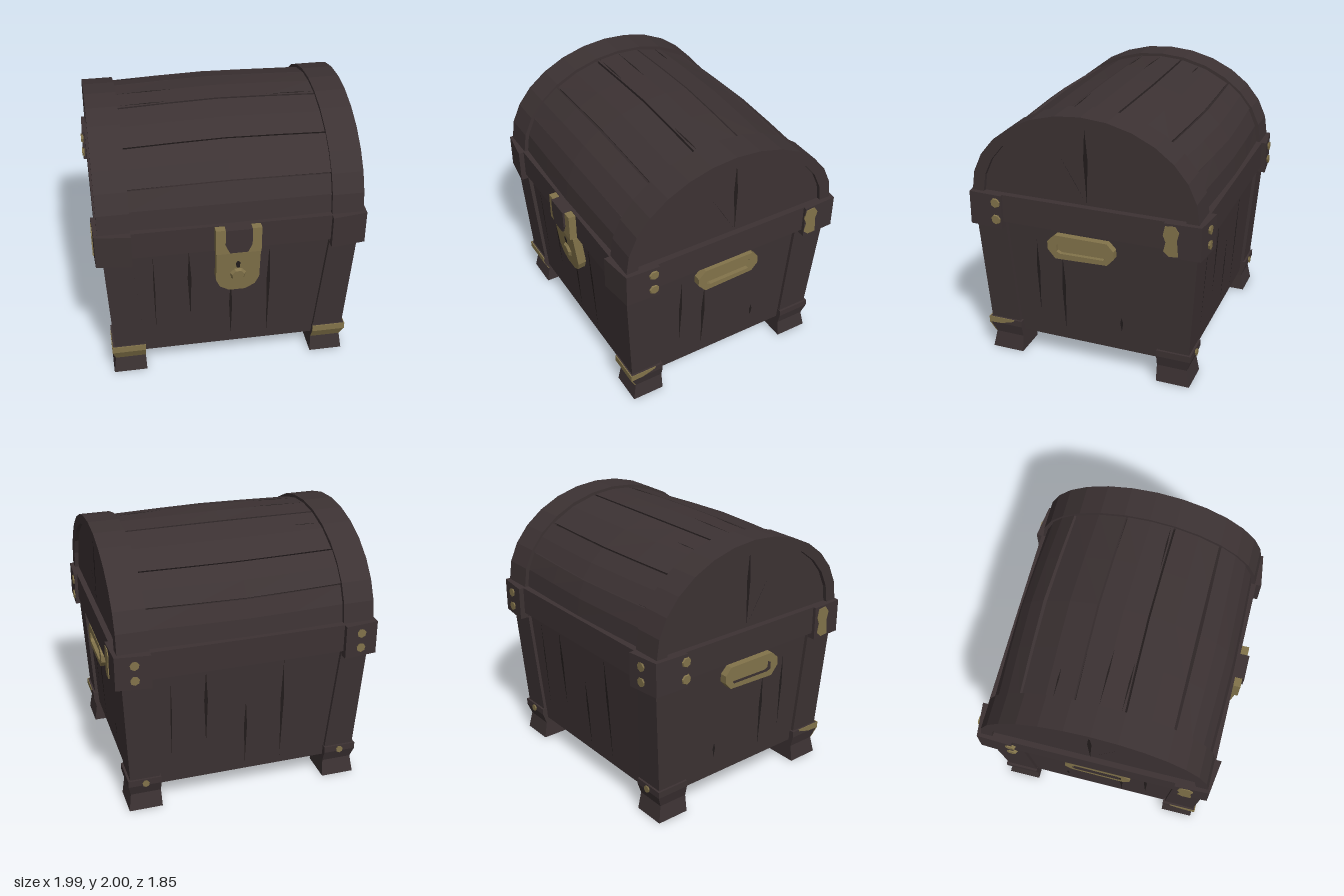
import * as THREE from 'three';

const wood = new THREE.MeshStandardMaterial({ color: 0x3c3233 });
wood.name = 'darkWood';
const gold = new THREE.MeshStandardMaterial({ color: 0x82734a });
gold.name = 'agedBrass';
const dark = new THREE.MeshStandardMaterial({ color: 0x221c1c, side: THREE.DoubleSide });
dark.name = 'crackShadow';

const lerp = THREE.MathUtils.lerp;
const rad = THREE.MathUtils.degToRad;

// Flat-sided solid through rings of [x, y, z] points, capped at both ends
function loft(rings) {
  const tris = [], n = rings[0].length, last = rings[rings.length - 1];
  for (let r = 0; r < rings.length - 1; r++) {
    for (let i = 0; i < n; i++) {
      const j = (i + 1) % n, a = rings[r], b = rings[r + 1];
      tris.push([a[i], a[j], b[j]], [a[i], b[j], b[i]]);
    }
  }
  for (let i = 1; i < n - 1; i++) {
    tris.push([rings[0][0], rings[0][i + 1], rings[0][i]], [last[0], last[i], last[i + 1]]);
  }
  // turn the faces outward when the volume comes out negative
  let volume = 0;
  const v = (p) => new THREE.Vector3(...p);
  for (const [a, b, c] of tris) volume += v(a).dot(v(b).cross(v(c)));
  if (volume < 0) tris.forEach((t) => t.reverse());
  const g = new THREE.BufferGeometry();
  g.setAttribute('position', new THREE.Float32BufferAttribute(tris.flat(2), 3));
  g.computeVertexNormals();
  return g;
}

// Rectangular level for a tapered block
const level = (y, x0, x1, z0, z1) => [[x0, y, z0], [x0, y, z1], [x1, y, z1], [x1, y, z0]];

// Extruded outline with an optional hole
function plate(points, depth, hole) {
  const vec = (p) => p.map(([x, y]) => new THREE.Vector2(x, y));
  const shape = new THREE.Shape(vec(points));
  if (hole) shape.holes.push(new THREE.Path(vec(hole)));
  return new THREE.ExtrudeGeometry(shape, { depth, bevelEnabled: false });
}

// Same, drawn in (z, y) and facing outward on side s, starting at |x|
function sidePlate(points, depth, s, x, hole) {
  const flip = (p) => p && p.map(([z, y]) => [-s * z, y]);
  return plate(flip(points), depth, flip(hole)).rotateY(s * Math.PI / 2).translate(s * x, 0, 0);
}

const rivetGeometry = (r) => {
  const g = new THREE.CylinderGeometry(r * 0.75, r, 0.02, 7).rotateX(Math.PI / 2).toNonIndexed();
  g.computeVertexNormals();
  return g;
};

// Domed lid section: angle in degrees from the front, scaled from the outer arch
const arch = (deg, k) => [-0.015 + 0.855 * k * Math.cos(rad(deg)), 1.345 + 0.655 * k * Math.sin(rad(deg))];
const archPoints = (k, n = 14) => Array.from({ length: n + 1 }, (_, i) => arch(180 * i / n, k));

export function createModel() {
  const root = new THREE.Group();
  const add = (name, geometry, material = wood, parent = root) => {
    const m = new THREE.Mesh(geometry, material);
    m.name = name;
    parent.add(m);
    return m;
  };
  // Thin tapering crack from a to b, widest near the middle
  const crack = (a, b, w) => {
    const mid = a.map((c, i) => lerp(c, b[i], 0.6));
    const p = mid.map((c, i) => c + w[i]), q = mid.map((c, i) => c - w[i]);
    const g = new THREE.BufferGeometry();
    g.setAttribute('position', new THREE.Float32BufferAttribute([a, p, b, a, b, q].flat(), 3));
    g.computeVertexNormals();
    add('crack', g, dark);
  };

  // Tapered body
  add('body', loft([level(0.18, -0.855, 0.855, -0.775, 0.755), level(1.14, -0.9, 0.9, -0.835, 0.805)]));

  // Plank seams on the four walls: [position, bottom, top, half width]
  const t = (y) => (y - 0.18) / 0.96;
  const frontSeams = [[-0.56, 0.36, 1.1, 0.006], [-0.3, 0.48, 1.11, 0.014], [0.01, 0.24, 0.8, 0.012], [0.29, 0.24, 1.11, 0.013]];
  const sideSeams = [[0.37, 0.38, 1.0, 0.012], [0.17, 0.26, 0.9, 0.015], [-0.28, 0.34, 0.46, 0.012]];
  for (const [x, y0, y1, w] of frontSeams) {
    crack([x, y0, lerp(0.759, 0.809, t(y0))], [x - 0.01, y1, lerp(0.759, 0.809, t(y1))], [w, 0, 0]);
    crack([-x, y0, lerp(-0.779, -0.839, t(y0))], [0.01 - x, y1, lerp(-0.779, -0.839, t(y1))], [w, 0, 0]);
  }

  for (const s of [-1, 1]) {
    for (const [z, y0, y1, w] of sideSeams) {
      crack([s * lerp(0.859, 0.904, t(y0)), y0, z], [s * lerp(0.859, 0.904, t(y1)), y1, z], [0, 0, w]);
    }

    for (const f of [1, -1]) {
      const front = f > 0;
      // Corner post
      const [zi0, zo0, zi1, zo1] = front ? [0.54, 0.78, 0.6, 0.835] : [-0.56, -0.8, -0.6, -0.86];
      add('cornerPost', loft([
        level(0.2, s * 0.65, s * 0.88, zi0, zo0),
        level(1.12, s * 0.72, s * 0.925, zi1, zo1),
      ]));
      // Waisted foot
      const [fi, fb, fw, ft] = front ? [0.53, 0.78, 0.755, 0.797] : [-0.56, -0.815, -0.79, -0.82];
      add('foot', loft([
        level(0, s * 0.645, s * 0.898, fi, fb),
        level(0.13, s * 0.65, s * 0.88, fi, fw),
        level(0.215, s * 0.65, s * 0.9, fi, ft),
        level(0.265, s * 0.65, s * 0.9, fi, ft),
      ]));
      if (front) {
        add('footPlate', loft([
          level(0.13, s * 0.65, s * 0.88, 0.752, 0.76),
          level(0.215, s * 0.65, s * 0.903, 0.794, 0.802),
          level(0.266, s * 0.65, s * 0.903, 0.794, 0.802),
        ]), gold);
        add('footPlateSide', sidePlate([[0.802, 0.266], [0.802, 0.215], [0.7, 0.22], [0.6, 0.25], [0.59, 0.266]], 0.005, s, 0.899), gold);
      } else {
        add('footRivet', rivetGeometry(0.028), gold).position.set(s * 0.77, 0.235, -0.824);
      }
      // Rim corner bracket with a slanted outer face
      const zOut = front ? [0.6, 0.89, 0.855] : [-0.63, -0.925, -0.895];
      const ring = (y) => [[s * 0.72, y, zOut[0]], [s * 0.72, y, zOut[1]], [s * 0.975, y, zOut[2]], [s * 0.985, y, zOut[0]]];
      add('rimCorner', loft([ring(1.085), ring(1.34)]));
      if (!front) {
        for (const y of [1.16, 1.275]) add('backRivet', rivetGeometry(0.035), gold).position.set(s * 0.84, y, -0.916);
      }
    }

    // Worn brass patch on one end of the side rim, two rivets on the other
    const patch = [[0.64, 1.32], [0.71, 1.325], [0.74, 1.28], [0.725, 1.22], [0.735, 1.1], [0.67, 1.095], [0.63, 1.13], [0.645, 1.2], [0.625, 1.25]];
    add('brassPatch', sidePlate(patch.map(([z, y]) => [-s * z, y]), 0.008, s, 0.98), gold);
    for (const y of [1.15, 1.28]) {
      const r = add('sideRivet', rivetGeometry(0.045), gold);
      r.position.set(s * 0.983, y, s * 0.645);
      r.rotation.y = s * Math.PI / 2;
    }

    // Carrying handle: octagonal ring around a recessed grip
    const outer = [[0.26, 0.97], [0.2, 0.9], [-0.2, 0.915], [-0.25, 0.97], [-0.25, 1.03], [-0.2, 1.085], [0.2, 1.085], [0.26, 1.03]];
    const hole = [[0.19, 0.96], [0.16, 0.945], [-0.17, 0.95], [-0.2, 0.99], [-0.17, 1.035], [0.16, 1.03], [0.19, 1.01]];
    add('handleRing', sidePlate(outer, 0.06, s, 0.89, hole), gold);
    add('handleGrip', sidePlate(hole, 0.03, s, 0.89), gold);

    // Lid end band, inner end board and its seams
    const inside = archPoints(0.895).reverse();
    add('lidBand', sidePlate([...archPoints(1), ...inside], 0.23, s, 0.72));
    add('lidEnd', sidePlate(archPoints(0.92), 0.2, s, 0.72));
    crack([s * 0.924, 1.35, -0.045], [s * 0.924, 1.915, -0.035], [0, 0, 0.016]);
    crack([s * 0.924, 1.7, 0.16], [s * 0.924, 1.38, -0.03], [0, 0.006, 0.005]);
  }

  // Rim
  const rim = add('rim', new THREE.BoxGeometry(1.92, 0.21, 1.735));
  rim.position.set(0, 1.235, -0.018);

  // Lid: dark core showing in the gaps between bowed planks
  add('lidCore', sidePlate(archPoints(0.93), 1.44, 1, -0.72), dark);
  const seams = [0, 26, 50, 77, 102, 133, 155, 180];
  const poke = [0, 0.025, 0, 0.002, 0, 0.022, 0];
  for (let i = 0; i < 7; i++) {
    const rings = [-0.72, -0.36, 0, 0.36, 0.72].map((x, c) => {
      const bow = [0, 0.6, 1, 0.6, 0][c];
      const a = seams[i] + (i > 0 ? 0.5 + bow * 1.2 : 0);
      const b = seams[i + 1] + (i < 6 ? -0.5 + bow * 1.2 : 0);
      const k = 0.965 + bow * 0.022 + poke[i] * (0.5 + 0.5 * bow);
      const section = [arch(a, k), arch((a + b) / 2, k), arch(b, k), arch(b, 0.9), arch(a, 0.9)];
      return section.map(([z, y]) => [x, y, z]);
    });
    add('lidPlank', loft(rings));
  }
  // Short splits on the lid: [x start, x end, angle]
  for (const [x0, x1, deg] of [[-0.72, -0.3, 90], [0.36, 0.72, 79], [-0.72, -0.5, 113], [-0.72, -0.36, 79]]) {
    const at = (x) => {
      const [z, y] = arch(deg, 0.965 + 0.0135 * (0.72 - Math.abs(x)) / 0.36 + 0.004);
      return [x, y, z];
    };
    crack(at(x0), at(x1), [0, 0, 0.006]);
  }

  // Lock: upper clasp, dark hasp, lower plate with rounded end, keyhole boss
  add('lockClasp', plate([[-0.13, 1.13], [0.2, 1.13], [0.2, 1.335], [-0.13, 1.335]], 0.07), gold).position.z = 0.835;
  const hasp = [[-0.06, 1.34], [-0.06, 1.21], [-0.03, 1.145], [0.1, 1.145], [0.13, 1.21], [0.13, 1.34]];
  add('lockHasp', plate(hasp, 0.085)).position.z = 0.835;
  const tongue = [[-0.12, 1.13], [-0.12, 0.87], [-0.09, 0.8], [-0.02, 0.755], [0.1, 0.755], [0.17, 0.8], [0.2, 0.87], [0.2, 1.13]];
  const lock = new THREE.Group();
  lock.name = 'lockPlate';
  lock.position.set(0, 1.13, 0.82);
  lock.rotation.x = 0.12;
  root.add(lock);
  add('lockTongue', plate(tongue, 0.065).translate(0, -1.13, 0), gold, lock);
  add('keyBoss', rivetGeometry(0.062), gold, lock).position.set(0.04, -0.215, 0.074);
  add('keySlot', plate([[0.03, -0.15], [0.05, -0.15], [0.055, -0.1], [0.035, -0.085], [0.02, -0.11]], 0.006), dark, lock).position.z = 0.062;

  return root;
}
